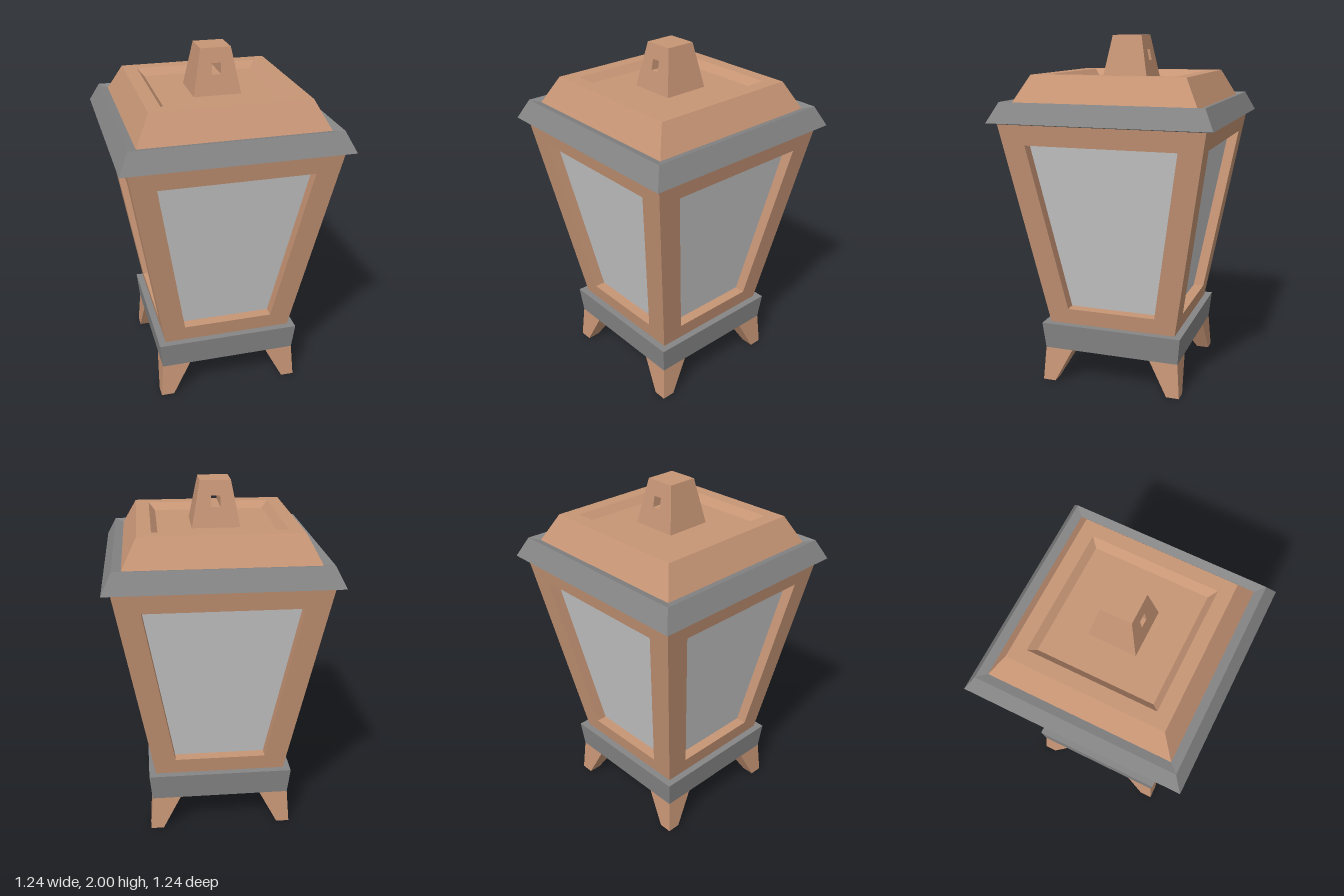
import * as THREE from 'three';

const copper = new THREE.MeshStandardMaterial({ color: 0xc89676, flatShading: true });
const iron = new THREE.MeshStandardMaterial({ color: 0x868686, flatShading: true });
const glass = new THREE.MeshStandardMaterial({ color: 0xcccccc, flatShading: true, side: THREE.DoubleSide });

// Half width of the tapered body and of the top loop at height y
const bodyHalf = (y) => 0.375 + (y - 0.355) * 0.17;
const loopHalf = (y) => 0.133 - (y - 1.75) * 0.192;

function flatMesh(name, geometry, material) {
  const flat = geometry.index ? geometry.toNonIndexed() : geometry;
  flat.computeVertexNormals();
  const mesh = new THREE.Mesh(flat, material);
  mesh.name = name;
  return mesh;
}

// Square solid from a profile of [half width, y], listed from bottom to top
function squareLathe(name, profile, material) {
  const points = profile.map(([h, y]) => new THREE.Vector2(h * Math.SQRT2, y));
  return flatMesh(name, new THREE.LatheGeometry(points, 4, Math.PI / 4), material);
}

// Points of a symmetric trapezoid
function trapezoid(h0, y0, h1, y1) {
  return [[-h0, y0], [h0, y0], [h1, y1], [-h1, y1]].map(([x, y]) => new THREE.Vector2(x, y));
}

// Moves every vertex of a geometry by a rule
function reshape(geometry, rule) {
  const p = geometry.attributes.position;
  for (let i = 0; i < p.count; i++) p.setXYZ(i, ...rule(p.getX(i), p.getY(i), p.getZ(i)));
  return geometry;
}

function extrudeWithHole(outer, hole, depth) {
  const shape = new THREE.Shape(outer);
  shape.holes.push(new THREE.Path(hole));
  return new THREE.ExtrudeGeometry(shape, { depth, bevelEnabled: false });
}

// One leaning side: a mitred frame with a recessed pane
function createSide() {
  const side = new THREE.Group();
  side.name = 'windowSide';
  const t = 0.07;
  const opening = trapezoid(0.26, 0.45, 0.425, 1.42);
  const frame = extrudeWithHole(trapezoid(bodyHalf(0.34), 0.34, bodyHalf(1.535), 1.535), opening, t);
  reshape(frame, (x, y, z) => {
    const h = bodyHalf(y);
    const mitre = Math.abs(x) > h - 0.01 ? t - z : 0;
    return [x - Math.sign(x) * mitre, y, h - t + z];
  });
  const pane = new THREE.ShapeGeometry(new THREE.Shape(trapezoid(0.265, 0.44, 0.435, 1.43)));
  reshape(pane, (x, y) => [x, y, bodyHalf(y) - t + 0.008]);
  side.add(flatMesh('windowFrame', frame, copper), flatMesh('windowPane', pane, glass));
  return side;
}

// Corner leg: wide at the top, narrowing to the outer corner
function createLeg(sx, sz) {
  const leg = new THREE.BoxGeometry(1, 0.2, 1);
  reshape(leg, (x, y, z) => {
    const [inner, outer] = y > 0 ? [0.235, 0.4] : [0.34, 0.415];
    const place = (v, s) => s * (v * s > 0 ? outer : inner);
    return [place(x, sx), y + 0.1, place(z, sz)];
  });
  return flatMesh('leg', leg, copper);
}

export function createModel() {
  const model = new THREE.Group();
  model.name = 'lantern';

  // Legs and base
  for (const sx of [-1, 1]) for (const sz of [-1, 1]) model.add(createLeg(sx, sz));
  model.add(squareLathe('basePlate', [[0, 0.2], [0.4, 0.2]], copper));
  model.add(squareLathe('baseBand', [[0.4, 0.2], [0.415, 0.355], [0, 0.355]], iron));

  // Four window sides
  for (let i = 0; i < 4; i++) {
    const side = createSide();
    side.rotation.y = i * Math.PI / 2;
    model.add(side);
  }

  // Roof rim, and lid with a sunken top
  model.add(squareLathe('roofRim', [[0, 1.53], [0.57, 1.53], [0.62, 1.54], [0.565, 1.65], [0.51, 1.635]], iron));
  model.add(squareLathe('lid', [[0.52, 1.63], [0.435, 1.79], [0.358, 1.79], [0.322, 1.75], [0, 1.75]], copper));

  // Hanging loop, pierced front to back
  const loop = extrudeWithHole(
    trapezoid(loopHalf(1.75), 1.75, loopHalf(2), 2),
    trapezoid(0.025, 1.86, 0.025, 1.92), 1);
  reshape(loop, (x, y, z) => [x, y, (2 * z - 1) * loopHalf(y)]);
  model.add(flatMesh('hangingLoop', loop, copper));

  return model;
}
